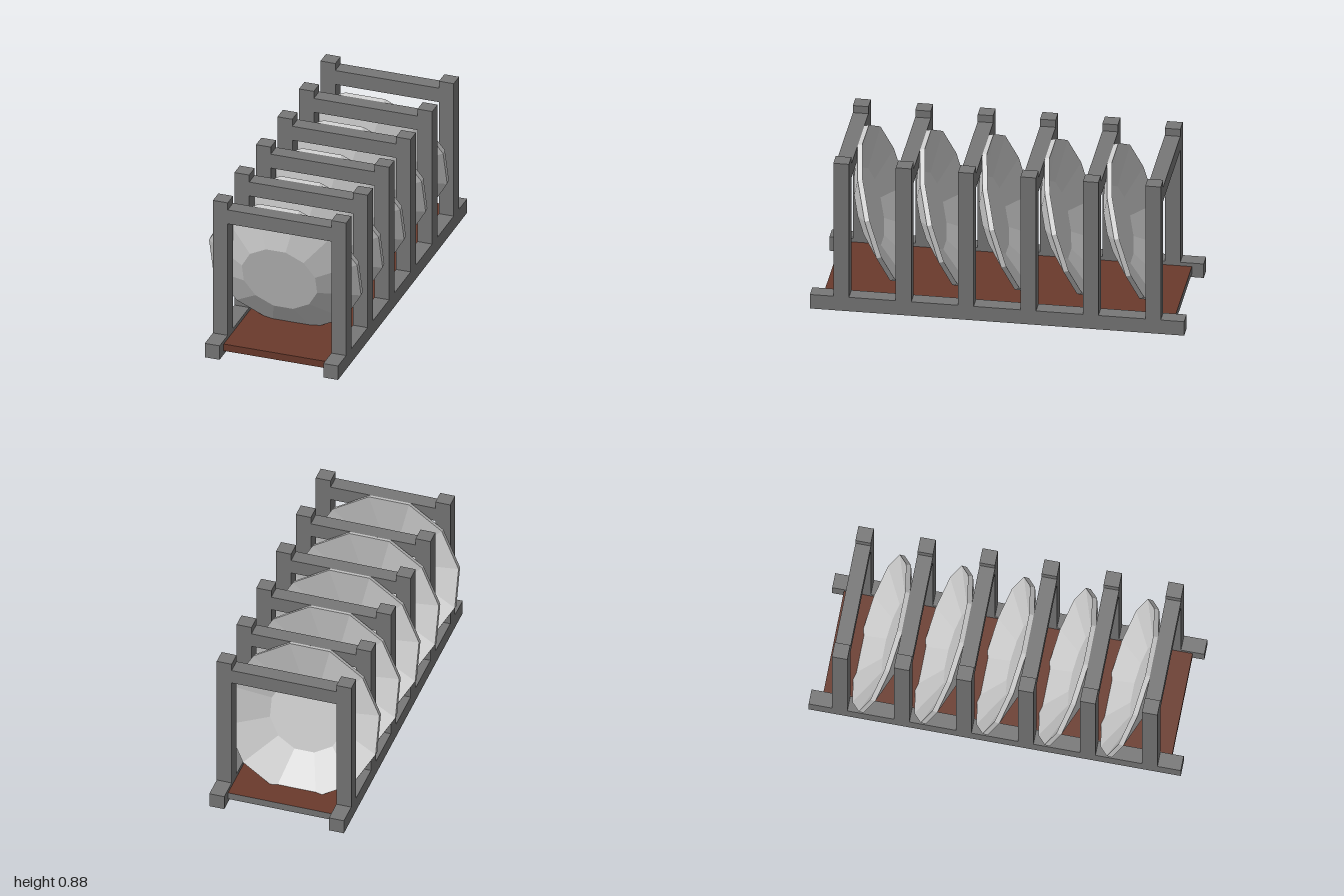
import * as THREE from 'three';

const material = (name, color) => {
  const m = new THREE.MeshStandardMaterial({ color });
  m.name = name;
  return m;
};

export function createModel() {
  const model = new THREE.Group();
  model.name = 'plateRack';
  const frame = material('frame grey', 0x777777);
  const wood = material('brown wood', 0x6a3a2c);
  const china = material('plate pale grey', 0xcccccc);
  china.flatShading = true;

  const box = (name, mat, x0, x1, y0, y1, z0, z1) => {
    const mesh = new THREE.Mesh(new THREE.BoxGeometry(x1 - x0, y1 - y0, z1 - z0), mat);
    mesh.position.set((x0 + x1) / 2, (y0 + y1) / 2, (z0 + z1) / 2);
    mesh.name = name;
    model.add(mesh);
  };

  // Rack sides: the rack sits slightly to the left of the plates
  const T = 0.083;
  const sides = [['right', -0.333, -0.25], ['left', 0.332, 0.415]];
  for (const [side, x0, x1] of sides) box(side + 'Rail', frame, x0, x1, 0, T, -1, 1);

  // Tray board: brown on top and front, grey underneath and behind
  box('board', [wood, wood, wood, frame, wood, frame], -0.25, 0.332, 0.022, 0.0625, -0.937, 0.937);

  // Six frames of two posts and a crossbar
  for (let i = 0; i < 6; i++) {
    const z = 0.833 - i / 3;
    for (const [side, x0, x1] of sides) box(side + 'Post', frame, x0, x1, T, 0.875, z - T / 2, z + T / 2);
    box('crossbar', frame, -0.25, 0.332, 0.75, 0.833, z - T / 2, z + T / 2);
  }

  // Five leaning twelve-sided dishes, hollow towards the back
  const profile = [[0, 0.09], [0.213, 0.09], [0.43, 0], [0.43, 0.028], [0.213, 0.118], [0, 0.118]]
    .map(([r, y]) => new THREE.Vector2(r, y));
  const dish = new THREE.LatheGeometry(profile, 12, Math.PI / 12);
  dish.rotateX(Math.PI / 2 + 0.288);
  for (let i = 0; i < 5; i++) {
    const plate = new THREE.Mesh(dish, china);
    plate.name = 'plate';
    plate.position.set(0, 0.442, 0.649 - i / 3);
    model.add(plate);
  }
  return model;
}
